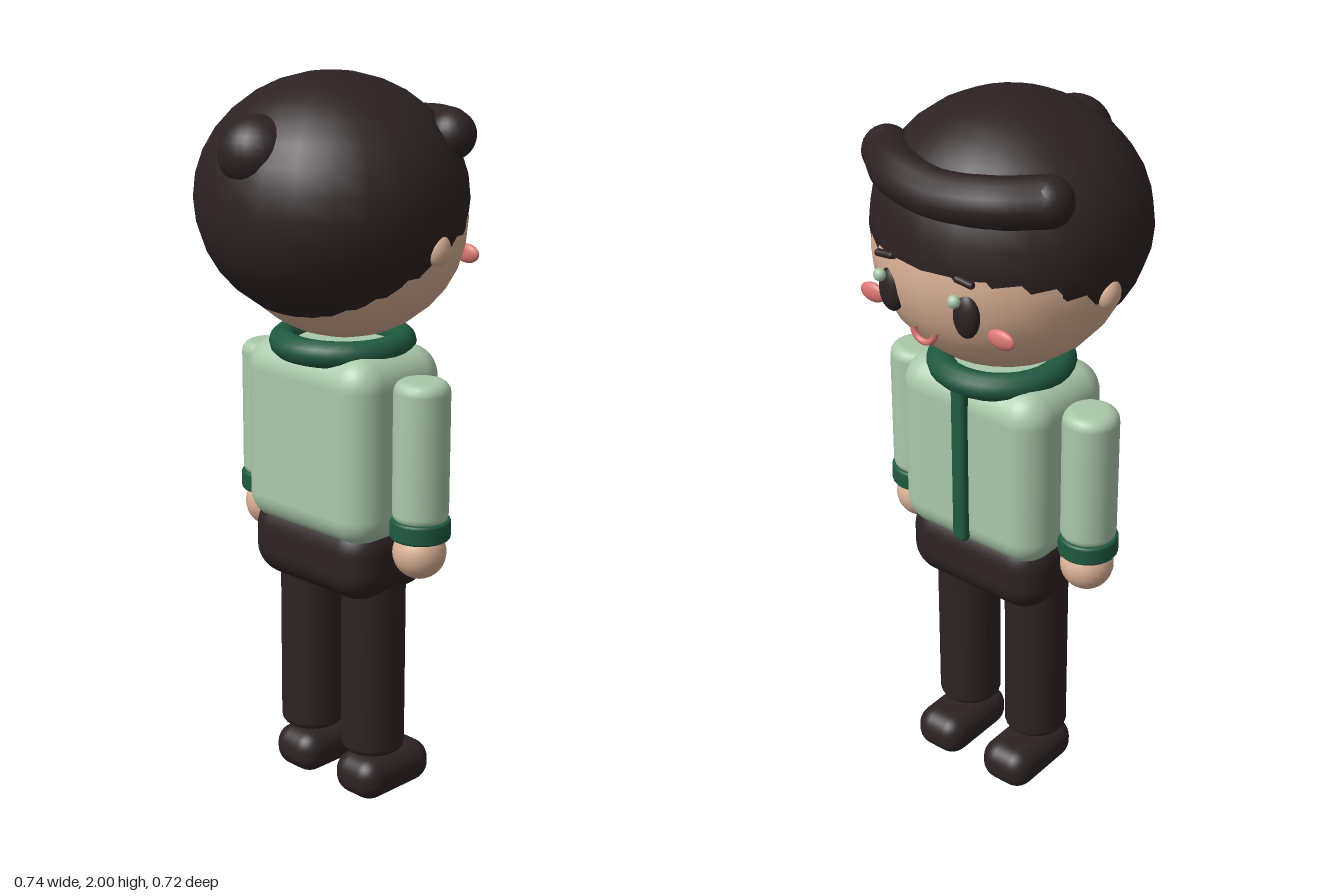
import * as THREE from 'three';
import { RoundedBoxGeometry } from 'three/addons/geometries/RoundedBoxGeometry.js';

const material = (name, color) => {
  const m = new THREE.MeshStandardMaterial({ color });
  m.name = name;
  return m;
};

export function createModel() {
  const dark = material('dark brown', 0x2e2223);
  const mint = material('mint', 0xaac8aa);
  const green = material('dark green', 0x1f5a40);
  const skin = material('skin', 0xdbb196);
  const pink = material('pink', 0xdb7672);

  const model = new THREE.Group();
  const Z = -0.037; // depth of the body's axis

  function add(name, geometry, mat, x, y, z) {
    const mesh = new THREE.Mesh(geometry, mat);
    mesh.name = name;
    mesh.position.set(x, y, z);
    model.add(mesh);
    return mesh;
  }
  function ellipsoid(name, mat, x, y, z, rx, ry, rz) {
    return add(name, new THREE.SphereGeometry(1, 24, 16).scale(rx, ry, rz), mat, x, y, z);
  }
  // Upright cylinder with rounded rims, standing on its origin
  function roundedCylinder(r, h, bevel) {
    const points = [new THREE.Vector2(0, 0)];
    for (let i = 0; i <= 4; i++) {
      const a = (i / 4) * Math.PI / 2;
      points.push(new THREE.Vector2(r - bevel + bevel * Math.sin(a), bevel - bevel * Math.cos(a)));
    }
    for (let i = 0; i <= 4; i++) {
      const a = (i / 4) * Math.PI / 2;
      points.push(new THREE.Vector2(r - bevel + bevel * Math.cos(a), h - bevel + bevel * Math.sin(a)));
    }
    points.push(new THREE.Vector2(0, h));
    return new THREE.LatheGeometry(points, 24);
  }

  // Head and hair
  ellipsoid('head', skin, 0, 1.62, Z, 0.34, 0.315, 0.315);
  ellipsoid('hair', dark, 0, 1.675, 0.005, 0.363, 0.325, 0.355);
  ellipsoid('hairBun', dark, 0, 1.82, 0.263, 0.1, 0.095, 0.1);
  const fringePath = new THREE.CatmullRomCurve3([
    new THREE.Vector3(-0.25, 1.845, -0.175),
    new THREE.Vector3(-0.15, 1.84, -0.25),
    new THREE.Vector3(0, 1.83, -0.278),
    new THREE.Vector3(0.15, 1.84, -0.25),
    new THREE.Vector3(0.25, 1.845, -0.175),
  ]);
  add('fringe', new THREE.TubeGeometry(fringePath, 20, 0.065, 12), dark, 0, 0, 0);

  // Smile
  add('mouth', new THREE.TorusGeometry(0.034, 0.009, 8, 16, Math.PI).rotateZ(Math.PI), pink, 0, 1.495, -0.34);

  // Torso, collar, zip and hips
  add('jacket', new RoundedBoxGeometry(0.47, 0.52, 0.34, 5, 0.085), mint, 0, 1.03, Z);
  add('collar', new THREE.TorusGeometry(0.16, 0.037, 12, 32).rotateX(Math.PI / 2), green, 0, 1.288, Z);
  add('zip', new RoundedBoxGeometry(0.046, 0.47, 0.03, 3, 0.013), green, 0, 1.045, -0.211);
  add('hips', new RoundedBoxGeometry(0.45, 0.23, 0.32, 5, 0.09), dark, 0, 0.725, Z);

  for (const [side, s] of [['left', 1], ['right', -1]]) {
    // Face
    ellipsoid(side + 'FringeEnd', dark, s * 0.25, 1.845, -0.175, 0.065, 0.065, 0.065);
    ellipsoid(side + 'Ear', skin, s * 0.336, 1.58, -0.04, 0.028, 0.042, 0.035);
    ellipsoid(side + 'Eye', dark, s * 0.118, 1.562, -0.32, 0.038, 0.06, 0.025);
    ellipsoid(side + 'EyeHighlight', mint, s * 0.118 + 0.017, 1.605, -0.346, 0.017, 0.017, 0.015);
    ellipsoid(side + 'Cheek', pink, s * 0.205, 1.515, -0.295, 0.041, 0.026, 0.014);
    add(side + 'Brow', new RoundedBoxGeometry(0.06, 0.018, 0.02, 2, 0.008), dark, s * 0.125, 1.66, -0.335)
      .rotation.z = -s * 0.1;

    // Arm
    add(side + 'Sleeve', roundedCylinder(0.075, 0.39, 0.03), mint, s * 0.29, 0.845, Z);
    add(side + 'Cuff', roundedCylinder(0.081, 0.055, 0.008), green, s * 0.29, 0.805, Z);
    ellipsoid(side + 'Hand', skin, s * 0.288, 0.764, Z, 0.072, 0.072, 0.072);

    // Leg
    add(side + 'TrouserLeg', roundedCylinder(0.088, 0.53, 0.02), dark, s * 0.12, 0.14, Z);
    add(side + 'Shoe', new RoundedBoxGeometry(0.16, 0.122, 0.265, 5, 0.055), dark, s * 0.12, 0.063, -0.077);
  }
  return model;
}
